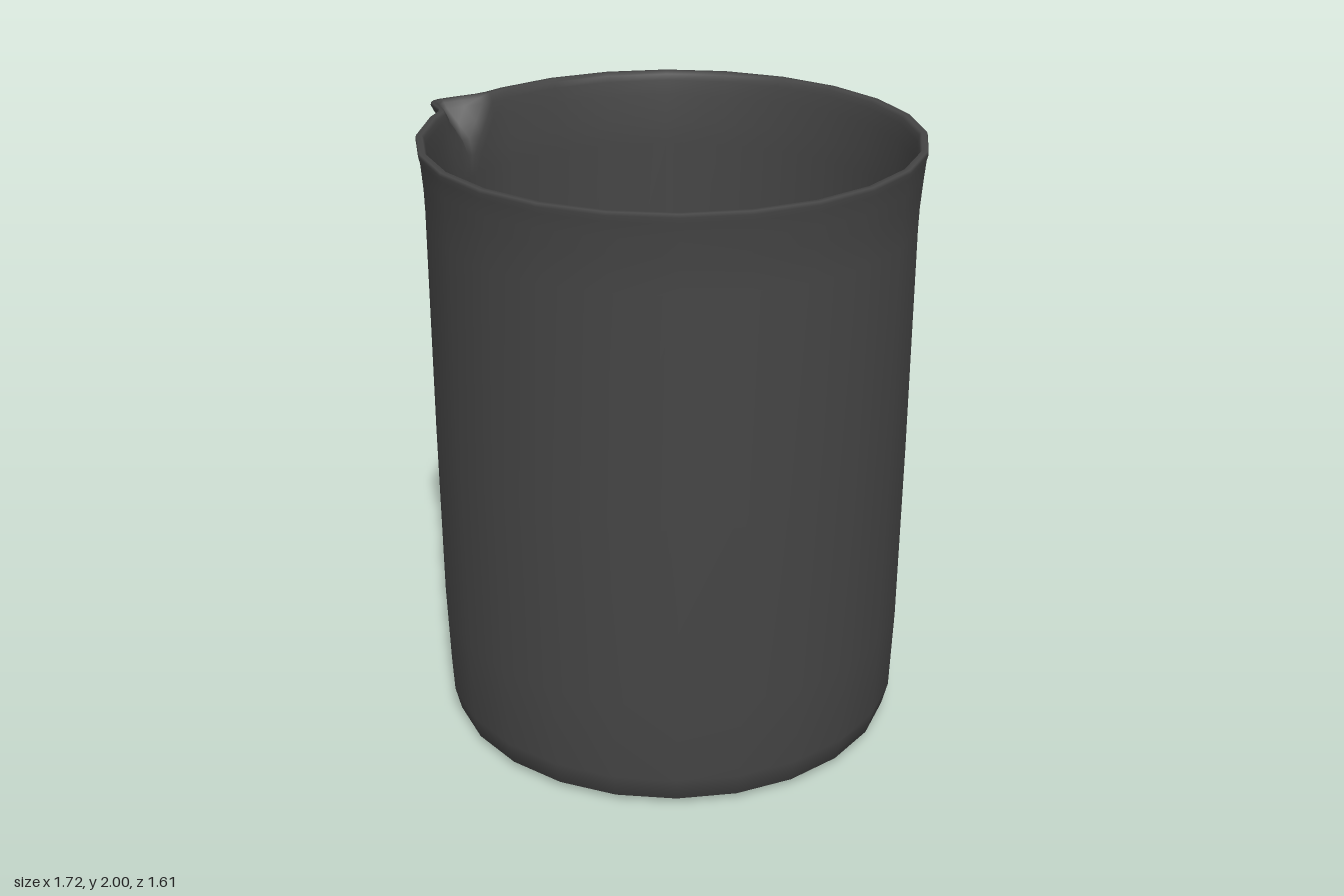
import * as THREE from 'three';

const CENTER_X = 0.05;

// Angles round the vessel: 24 regular sides plus extra steps across the spout at 180 degrees
function ringAngles() {
  const degrees = [];
  for (let i = 0; i < 24; i++) degrees.push(i * 15);
  for (const d of [1.5, 4.5, 7.5, 10]) degrees.push(180 - d, 180 + d);
  return degrees.sort((a, b) => a - b).map(THREE.MathUtils.degToRad);
}

// Sweeps a [radius, height] profile round the axis and pulls the spout out of the rim
function vesselGeometry(profile) {
  const angles = ringAngles();
  const n = angles.length;
  const positions = [];
  const index = [];
  profile.forEach(([r, y], row) => {
    angles.forEach((a, k) => {
      const x = r * Math.cos(a);
      const z = r * Math.sin(a);
      const rise = THREE.MathUtils.clamp((y - 1.82) / 0.16, 0, 1);
      const pull = x < 0 ? THREE.MathUtils.clamp(1.15 * rise - Math.abs(z) / 0.105, 0, rise) : 0;
      positions.push(CENTER_X + x - 0.105 * pull, y - 0.012 * pull, z);
      if (row === profile.length - 1) return;
      const p = row * n + k;
      const q = row * n + (k + 1) % n;
      if (r > 0) index.push(p, p + n, q);
      if (profile[row + 1][0] > 0) index.push(q, p + n, q + n);
    });
  });
  const geometry = new THREE.BufferGeometry();
  geometry.setAttribute('position', new THREE.Float32BufferAttribute(positions, 3));
  geometry.setIndex(index);
  geometry.computeVertexNormals();
  return geometry;
}

export function createModel() {
  const group = new THREE.Group();
  group.name = 'beaker';
  const glass = new THREE.MeshStandardMaterial({ color: 0x454545 });
  glass.name = 'dark grey glass';

  // Outside from the base centre up to the rim, then down the inside to the floor centre
  const profile = [
    [0, 0], [0.69, 0], [0.72, 0.004], [0.75, 0.02], [0.77, 0.1], [0.78, 0.38],
    [0.785, 1.0], [0.786, 1.75], [0.788, 1.82], [0.792, 1.87], [0.796, 1.92],
    [0.801, 1.97], [0.806, 1.99], [0.803, 2], [0.785, 2], [0.779, 1.99],
    [0.774, 1.97], [0.768, 1.92], [0.764, 1.87], [0.76, 1.82], [0.757, 1.75],
    [0.756, 1.0], [0.75, 0.38], [0.74, 0.12], [0.72, 0.05], [0.68, 0.03], [0, 0.03],
  ];
  const body = new THREE.Mesh(vesselGeometry(profile), glass);
  body.name = 'vesselWithSpout';
  group.add(body);
  return group;
}
